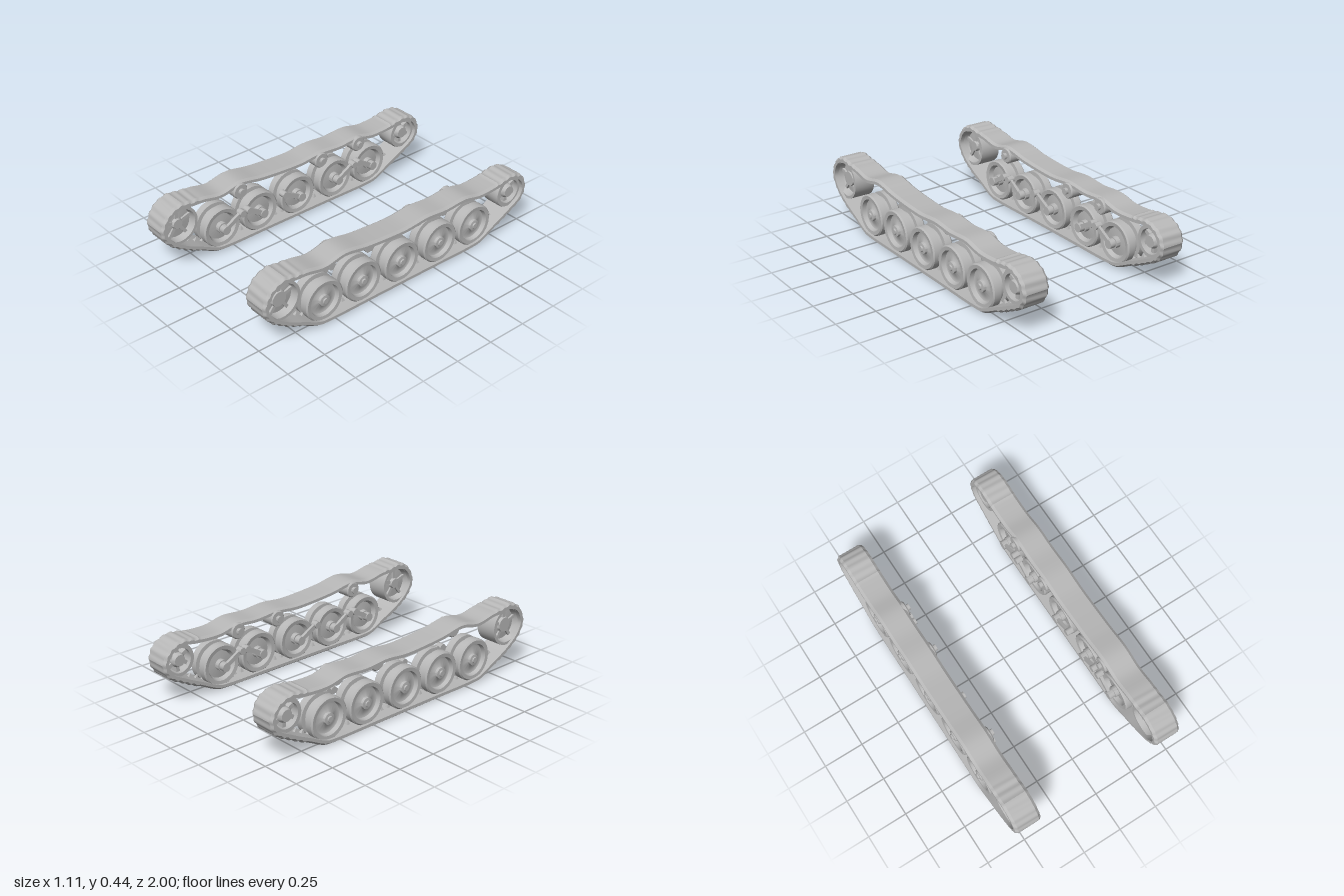
import * as THREE from 'three';
import { toCreasedNormals } from 'three/addons/utils/BufferGeometryUtils.js';

const steel = new THREE.MeshStandardMaterial({ color: 0xb8b8b8 });
steel.name = 'track grey';

const TRACK_X = 0.473; // centre line of each track
const HALF = 0.084;    // half of the belt width

// Belt outline as [z, y], running front to rear over the top
const outline = [
  [0.86, 0.435], [0.78, 0.425], [0.7, 0.42], [0.58, 0.4], [0.44, 0.425], [0.28, 0.402], [0.1, 0.388],
  [-0.02, 0.385], [-0.17, 0.398], [-0.32, 0.388], [-0.47, 0.396], [-0.6, 0.372], [-0.75, 0.378],
  [-0.87, 0.392], [-0.96, 0.35], [-0.995, 0.27], [-0.965, 0.19], [-0.87, 0.13], [-0.74, 0.065],
  [-0.62, 0.008], [-0.55, 0], [-0.2, 0], [0.2, 0], [0.55, 0], [0.62, 0.008], [0.74, 0.065],
  [0.86, 0.125], [0.955, 0.2], [0.995, 0.29], [0.95, 0.39],
];
const path = new THREE.CatmullRomCurve3(
  outline.map(([z, y]) => new THREE.Vector3(0, y, z)), true, 'centripetal');

// Point on the belt with its inward direction
function beltFrame(u) {
  const p = path.getPointAt(u % 1);
  const t = path.getTangentAt(u % 1);
  return { p, n: new THREE.Vector3(0, t.z, -t.y) };
}

// Closed belt: a chamfered section swept along the outline, with ridges at both ends
function beltGeometry() {
  const section = [[-0.068, 0], [0.068, 0], [HALF, 0.012], [HALF, 0.03], [-HALF, 0.03], [-HALF, 0.012]];
  const steps = 336, m = section.length, pos = [], index = [];
  for (let i = 0; i < steps; i++) {
    const { p, n } = beltFrame(i / steps);
    const ridge = Math.abs(p.z) > 0.74 && i % 4 < 2 ? -0.005 : 0;
    for (const [x, d] of section) {
      const q = p.clone().addScaledVector(n, d < 0.02 ? d + ridge : d);
      pos.push(x, Math.max(0, q.y), q.z);
    }
    for (let j = 0; j < m; j++) {
      const a = i * m + j, b = i * m + (j + 1) % m;
      const c = ((i + 1) % steps) * m + j, d = ((i + 1) % steps) * m + (j + 1) % m;
      index.push(a, b, c, b, d, c);
    }
  }
  const g = new THREE.BufferGeometry();
  g.setAttribute('position', new THREE.Float32BufferAttribute(pos, 3));
  g.setIndex(index);
  // Make sure the faces look outward
  const v = (k) => new THREE.Vector3().fromArray(pos, index[k] * 3);
  const normal = v(1).sub(v(0)).cross(v(2).sub(v(0)));
  if (normal.dot(beltFrame(0).n) > 0) index.reverse(), g.setIndex(index);
  return toCreasedNormals(g, 0.5);
}

// Revolved part on the x axis; profile is [radius, outward distance] from inside to outside
function turned(profile, side, segments = 36) {
  const g = new THREE.LatheGeometry(profile.map(([r, h]) => new THREE.Vector2(r, h)), segments);
  g.rotateZ(-side * Math.PI / 2);
  return toCreasedNormals(g, 0.6);
}

function add(parent, name, geometry, x, y, z) {
  const mesh = new THREE.Mesh(geometry, steel);
  mesh.name = name;
  mesh.position.set(x, y, z);
  parent.add(mesh);
  return mesh;
}

const roadWheel = [
  [0, -0.075], [0.035, -0.075], [0.035, -0.045], [0.085, -0.04], [0.098, -0.065], [0.122, -0.068], [0.13, -0.06],
  [0.13, -0.016], [0.105, -0.014], [0.105, 0.014], [0.13, 0.016],
  [0.13, 0.06], [0.122, 0.068], [0.1, 0.066], [0.094, 0.04], [0.082, 0.036], [0.045, 0.045],
  [0.036, 0.05], [0.034, 0.066], [0.018, 0.068], [0.016, 0.076], [0, 0.076],
];
const frontDish = [
  [0, -0.045], [0.03, -0.045], [0.035, -0.025], [0.095, -0.02], [0.105, -0.066], [0.122, -0.066],
  [0.122, 0.066], [0.105, 0.066], [0.095, 0.02], [0.05, 0.025], [0.045, 0.042], [0, 0.042],
];
const rearRim = [
  [0.076, -0.06], [0.098, -0.06], [0.102, -0.052], [0.102, 0.052], [0.098, 0.06], [0.076, 0.06], [0.076, -0.06],
];
const hub = [[0, -0.06], [0.035, -0.06], [0.045, -0.04], [0.045, 0.04], [0.035, 0.06], [0, 0.06]];
const roller = [[0, -0.055], [0.044, -0.055], [0.05, -0.048], [0.05, 0.048], [0.044, 0.055], [0, 0.055]];

// Spokes around a wheel centre
function spokes(parent, count, inner, outer, width, depth, y, z) {
  for (let i = 0; i < count; i++) {
    const a = (i / count) * Math.PI * 2, r = (inner + outer) / 2;
    const s = add(parent, 'spoke', new THREE.BoxGeometry(depth, outer - inner, width),
      0, y + Math.cos(a) * r, z + Math.sin(a) * r);
    s.rotation.x = a;
  }
}

function buildTrack(side) {
  const track = new THREE.Group();
  track.name = side > 0 ? 'leftTrack' : 'rightTrack';
  track.position.x = side * TRACK_X;
  add(track, 'belt', beltGeometry(), 0, 0, 0);

  // Guide teeth along the inside of the belt
  const tooth = new THREE.CylinderGeometry(0.004, 0.016, 0.024, 4);
  tooth.rotateY(Math.PI / 4);
  const toothGeometry = toCreasedNormals(tooth, 0.3);
  for (let i = 0; i < 84; i++) {
    const { p, n } = beltFrame(i / 84);
    if (Math.abs(p.z) > 0.8) continue;
    const q = p.clone().addScaledVector(n, 0.04);
    const t = add(track, 'guideTooth', toothGeometry, 0, q.y, q.z);
    t.quaternion.setFromUnitVectors(new THREE.Vector3(0, 1, 0), n);
  }

  // Road wheels with swing arms on the inner side: [wheel z, arm pivot z]
  const wheelGeometry = turned(roadWheel, side);
  const inner = -side * 0.096;
  for (const [z, pivot] of [[0.57, 0.45], [0.29, 0.4], [0, 0.13], [-0.3, -0.42], [-0.58, -0.46]]) {
    add(track, 'roadWheel', wheelGeometry, 0, 0.15, z);
    add(track, 'wheelAxle', turned([[0, -0.022], [0.028, -0.022], [0.028, 0.022], [0, 0.022]], side, 14),
      -side * 0.09, 0.15, z);
    const dz = pivot - z, dy = 0.07;
    const arm = add(track, 'swingArm', new THREE.BoxGeometry(0.018, 0.028, Math.hypot(dz, dy)),
      inner, 0.15 + dy / 2, (z + pivot) / 2);
    arm.rotation.x = -Math.atan2(dy, dz);
    add(track, 'armPivot', turned([[0, -0.022], [0.022, -0.022], [0.022, 0.022], [0, 0.022]], side, 12),
      inner, 0.22, pivot);
  }

  // Return rollers under the upper run
  for (const [y, z] of [[0.365, 0.445], [0.34, -0.17], [0.345, -0.47]]) {
    add(track, 'returnRoller', turned(roller, side, 24), -side * 0.04, y, z);
    add(track, 'rollerAxle', turned([[0, -0.015], [0.02, -0.015], [0.02, 0.015], [0, 0.015]], side, 12),
      -side * 0.1, y, z);
  }

  // Dished front wheel
  add(track, 'frontWheel', turned(frontDish, side), 0, 0.287, 0.862);
  spokes(track, 5, 0.035, 0.1, 0.02, 0.07, 0.287, 0.862);

  // Open spoked rear wheel
  add(track, 'rearRim', turned(rearRim, side), 0, 0.265, -0.872);
  add(track, 'rearHub', turned(hub, side, 24), 0, 0.265, -0.872);
  spokes(track, 6, 0.035, 0.082, 0.024, 0.07, 0.265, -0.872);
  return track;
}

export function createModel() {
  const model = new THREE.Group();
  model.name = 'trackPair';
  for (const side of [1, -1]) model.add(buildTrack(side));
  return model;
}
